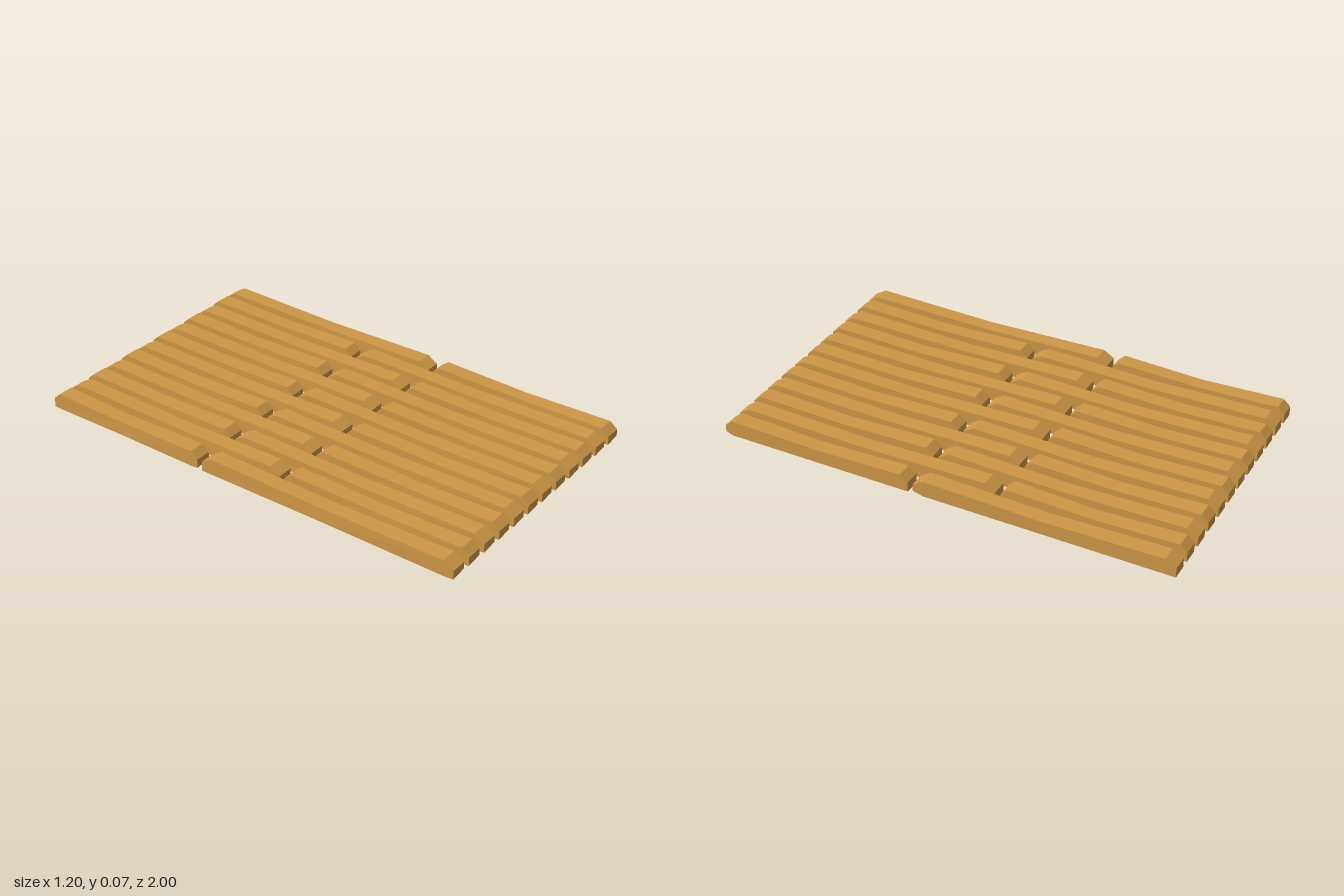
import * as THREE from 'three';

const WIDTH = 0.07, HEIGHT = 0.07, PITCH = 0.1025, COLUMNS = 12;

// One hewn plank: chamfered ends, a slight dip and narrowing at mid length
function plankGeometry(z0, z1, chamfer) {
  const length = z1 - z0;
  const geometry = new THREE.BoxGeometry(1, 1, 1, 1, 1, 4);
  const stations = [z0, z0 + chamfer, z0 + length / 2, z1 - chamfer, z1];
  const topHeights = [0.042, HEIGHT, 0.06, HEIGHT, 0.042];
  const p = geometry.attributes.position;
  for (let i = 0; i < p.count; i++) {
    const s = Math.round((p.getZ(i) + 0.5) * 4);
    const top = p.getY(i) > 0;
    const left = p.getX(i) > 0;
    let x = left ? WIDTH / 2 : -WIDTH / 2;
    let y = top ? topHeights[s] : 0;
    if (s === 2 && !left) x += top ? 0.006 : 0.003;
    // front lower edge is worn, more on one corner
    if (s === 4 && !top) y = left ? 0.012 : 0.003;
    p.setXYZ(i, x, y, stations[s]);
  }
  geometry.computeVertexNormals();
  return geometry;
}

export function createModel() {
  const group = new THREE.Group();
  group.name = 'plankFloor';
  const wood = new THREE.MeshStandardMaterial({ color: 0xcd9746, flatShading: true });

  // Two planks per column; the joint alternates between columns
  const layouts = [
    [['shortPlankBack', plankGeometry(-1, -0.217, 0.03)], ['longPlankFront', plankGeometry(-0.193, 1, 0.046)]],
    [['longPlankBack', plankGeometry(-1, 0.117, 0.046)], ['shortPlankFront', plankGeometry(0.14, 1, 0.034)]],
  ];

  for (let i = 0; i < COLUMNS; i++) {
    for (const [name, geometry] of layouts[i % 2]) {
      const plank = new THREE.Mesh(geometry, wood);
      plank.name = name + (i + 1);
      plank.position.x = (i - (COLUMNS - 1) / 2) * PITCH;
      group.add(plank);
    }
  }
  return group;
}
